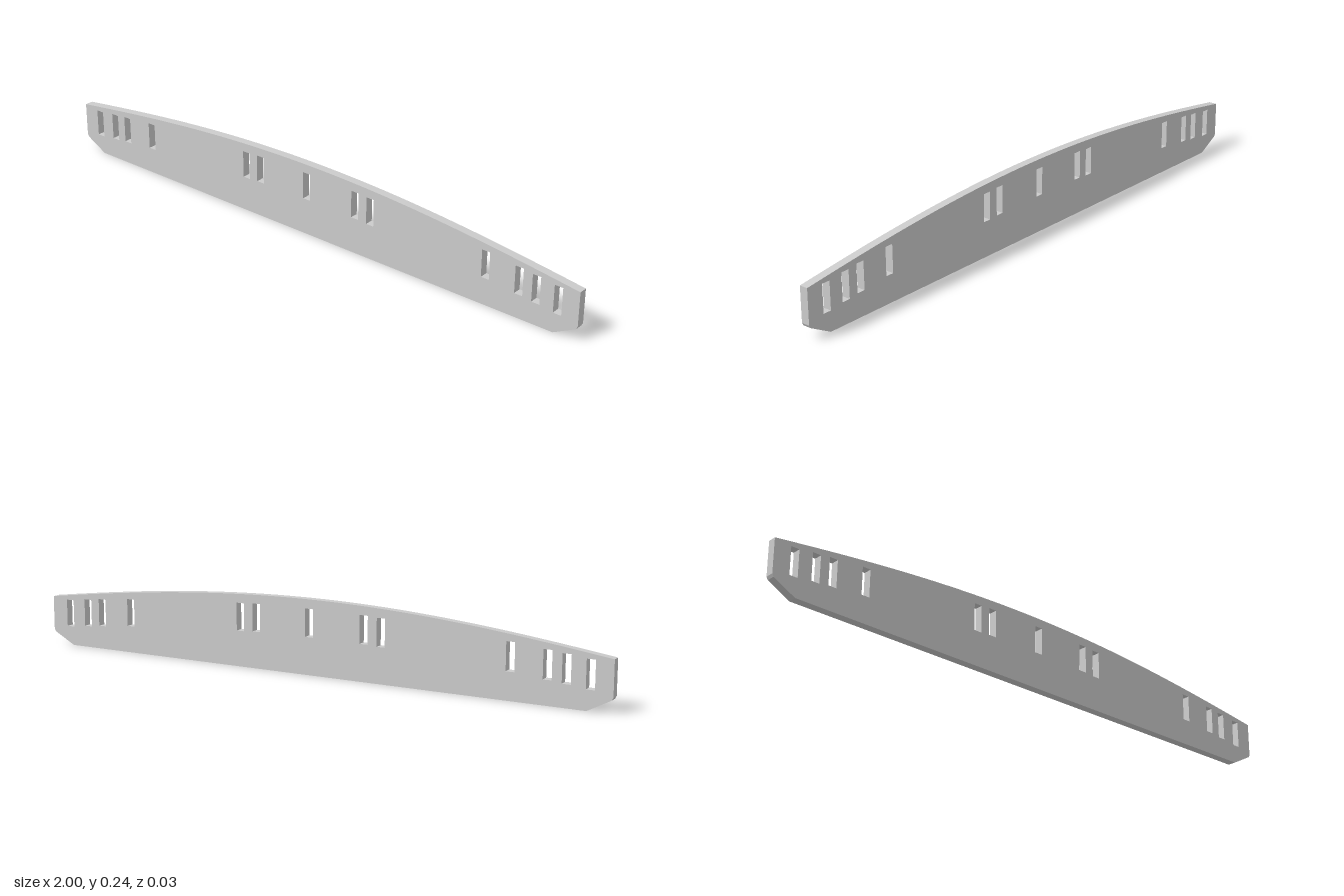
import * as THREE from 'three';

const THICKNESS = 0.028;
const SLOT_W = 0.028, SLOT_H = 0.091;

// Height of the arched top edge
const topEdge = x => 0.243 - 0.081 * (1.15 * x ** 2 - 0.15 * x ** 4);

function rectHole(x, bottom) {
  const w = SLOT_W / 2, top = bottom + SLOT_H;
  return new THREE.Path([[x - w, bottom], [x - w, top], [x + w, top], [x + w, bottom]]
    .map(([a, b]) => new THREE.Vector2(a, b)));
}

export function createModel() {
  const group = new THREE.Group();
  group.name = 'slottedRib';

  // Outline: flat base, clipped lower corners, arched top
  const points = [[-0.92, 0], [0.92, 0], [0.995, 0.04], [1, 0.049]];
  const steps = 48;
  for (let i = 0; i <= steps; i++) {
    const x = 1 - 2 * i / steps;
    points.push([x, topEdge(x)]);
  }
  points.push([-1, 0.049], [-0.995, 0.04]);
  const shape = new THREE.Shape(points.map(([x, y]) => new THREE.Vector2(x, y)));

  // Slots: distance from the middle and height of the lower end
  shape.holes.push(rectHole(0, 0.122));
  const slots = [[0.193, 0.12], [0.252, 0.117], [0.68, 0.089], [0.797, 0.078], [0.856, 0.072], [0.93, 0.064]];
  for (const [x, y] of slots) {
    for (const side of [-1, 1]) shape.holes.push(rectHole(side * x, y));
  }

  const geometry = new THREE.ExtrudeGeometry(shape, { depth: THICKNESS, bevelEnabled: false });
  geometry.translate(0, 0, -THICKNESS / 2);
  const plate = new THREE.Mesh(geometry, new THREE.MeshStandardMaterial({ color: 0xcccccc }));
  plate.name = 'ribPlate';
  group.add(plate);
  return group;
}
